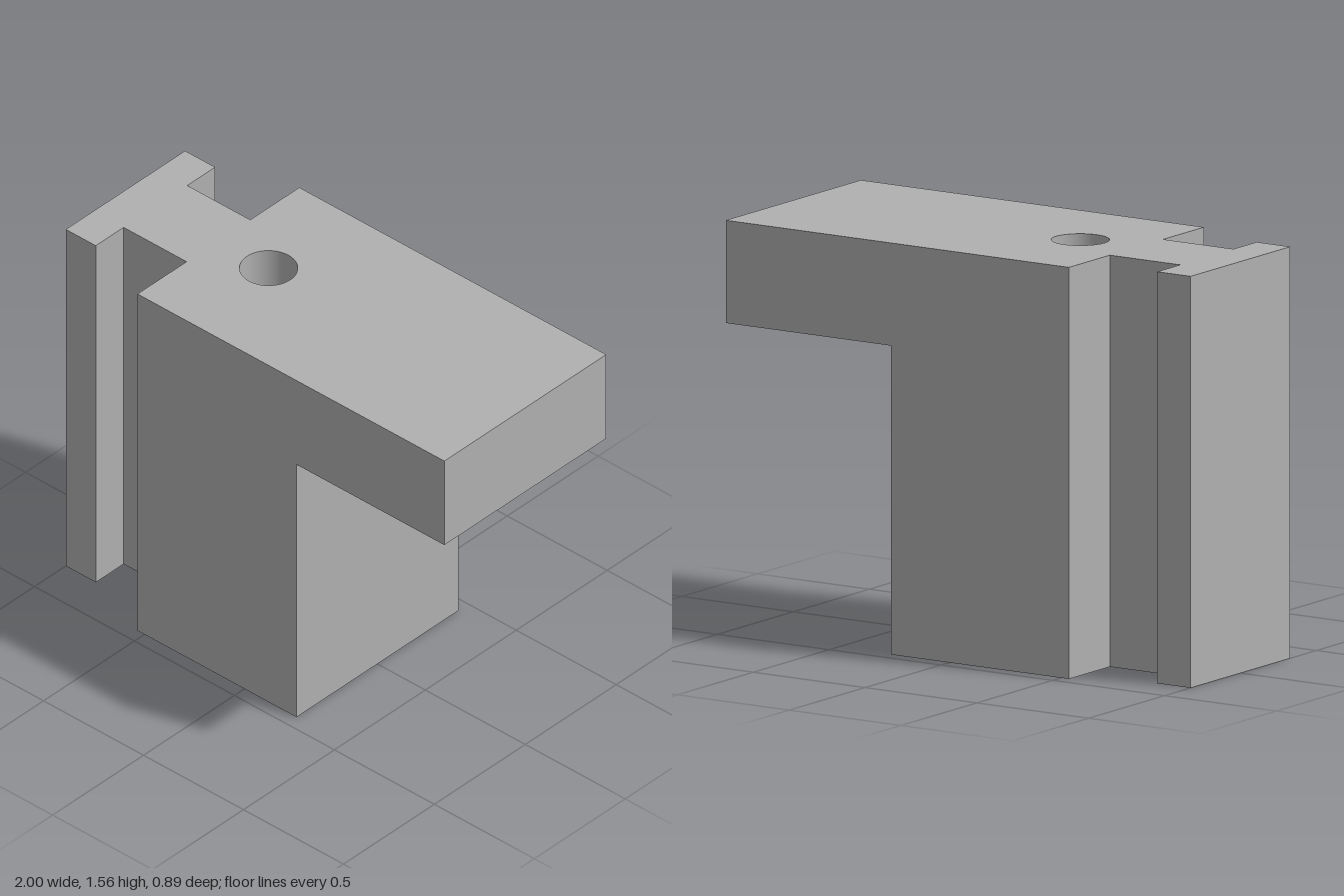
import * as THREE from 'three';
import { mergeGeometries } from 'three/addons/utils/BufferGeometryUtils.js';

const HEIGHT = 1.555, LEDGE = 1.167;      // top face and underside of the overhang
const HOLE_X = -0.284, SMALL_R = 0.108, BIG_R = 0.24;
const BODY_X = 0.26, ARM_X = 1, HALF = 0.445;

// Plan outline (x, -z): T-shaped rail, neck, then the block up to xEnd
function outline(xEnd) {
  const side = [[-1, 0.328], [-0.85, 0.328], [-0.85, 0.175], [-0.535, 0.175], [-0.535, HALF], [xEnd, HALF]];
  const lower = side.map(([x, y]) => new THREE.Vector2(x, -y));
  const upper = side.map(([x, y]) => new THREE.Vector2(x, y)).reverse();
  return new THREE.Shape([...lower, ...upper]);
}

function circle(radius) {
  return new THREE.Path().absarc(HOLE_X, 0, radius, 0, Math.PI * 2, true);
}

// Flat horizontal face at height y
function cap(shape, y, up) {
  const g = new THREE.ShapeGeometry(shape, 32);
  if (!up) {
    const index = g.index.array;
    for (let i = 0; i < index.length; i += 3) [index[i], index[i + 1]] = [index[i + 1], index[i]];
    const n = g.attributes.normal;
    for (let i = 0; i < n.count; i++) n.setZ(i, -1);
  }
  return g.rotateX(-Math.PI / 2).translate(0, y, 0).toNonIndexed();
}

// Vertical walls under an outline, without end faces
function walls(shape, y0, y1) {
  const g = new THREE.ExtrudeGeometry(shape, { depth: y1 - y0, bevelEnabled: false });
  const sides = g.groups.find((group) => group.materialIndex === 1);
  const out = new THREE.BufferGeometry();
  for (const name of ['position', 'normal', 'uv']) {
    const a = g.attributes[name];
    const part = a.array.slice(sides.start * a.itemSize, (sides.start + sides.count) * a.itemSize);
    out.setAttribute(name, new THREE.BufferAttribute(part, a.itemSize));
  }
  return out.rotateX(-Math.PI / 2).translate(0, y0, 0);
}

export function createModel() {
  const model = new THREE.Group();
  const grey = new THREE.MeshStandardMaterial({ color: 0xb0b0b0 });
  grey.name = 'grey';
  const bore = new THREE.MeshStandardMaterial({ color: 0xb0b0b0, side: THREE.DoubleSide });
  bore.name = 'boreGrey';
  const add = (name, geometry, material = grey) => {
    const mesh = new THREE.Mesh(geometry, material);
    mesh.name = name;
    model.add(mesh);
    return mesh;
  };

  // Upper slab with the overhanging arm
  const top = outline(ARM_X);
  top.holes.push(circle(SMALL_R));
  const armUnderside = new THREE.Shape([
    new THREE.Vector2(BODY_X, -HALF), new THREE.Vector2(ARM_X, -HALF),
    new THREE.Vector2(ARM_X, HALF), new THREE.Vector2(BODY_X, HALF),
  ]);
  add('upperSlab', mergeGeometries([
    walls(outline(ARM_X), LEDGE, HEIGHT),
    cap(top, HEIGHT, true),
    cap(armUnderside, LEDGE, false),
  ]));

  // Lower block and rail
  const bottom = outline(BODY_X);
  bottom.holes.push(circle(BIG_R));
  add('lowerBlock', mergeGeometries([walls(outline(BODY_X), 0, LEDGE), cap(bottom, 0, false)]));

  // Stepped bolt hole: narrow above, wide below, with a flat shoulder between
  const hole = (name, radius, y0, y1) => add(name,
    new THREE.CylinderGeometry(radius, radius, y1 - y0, 64, 1, true).translate(HOLE_X, (y0 + y1) / 2, 0), bore);
  hole('boltHole', SMALL_R, LEDGE, HEIGHT);
  hole('counterbore', BIG_R, 0, LEDGE);
  const shoulder = new THREE.Shape().absarc(HOLE_X, 0, BIG_R, 0, Math.PI * 2, false);
  shoulder.holes.push(circle(SMALL_R));
  add('counterboreShoulder', cap(shoulder, LEDGE, false));

  return model;
}
